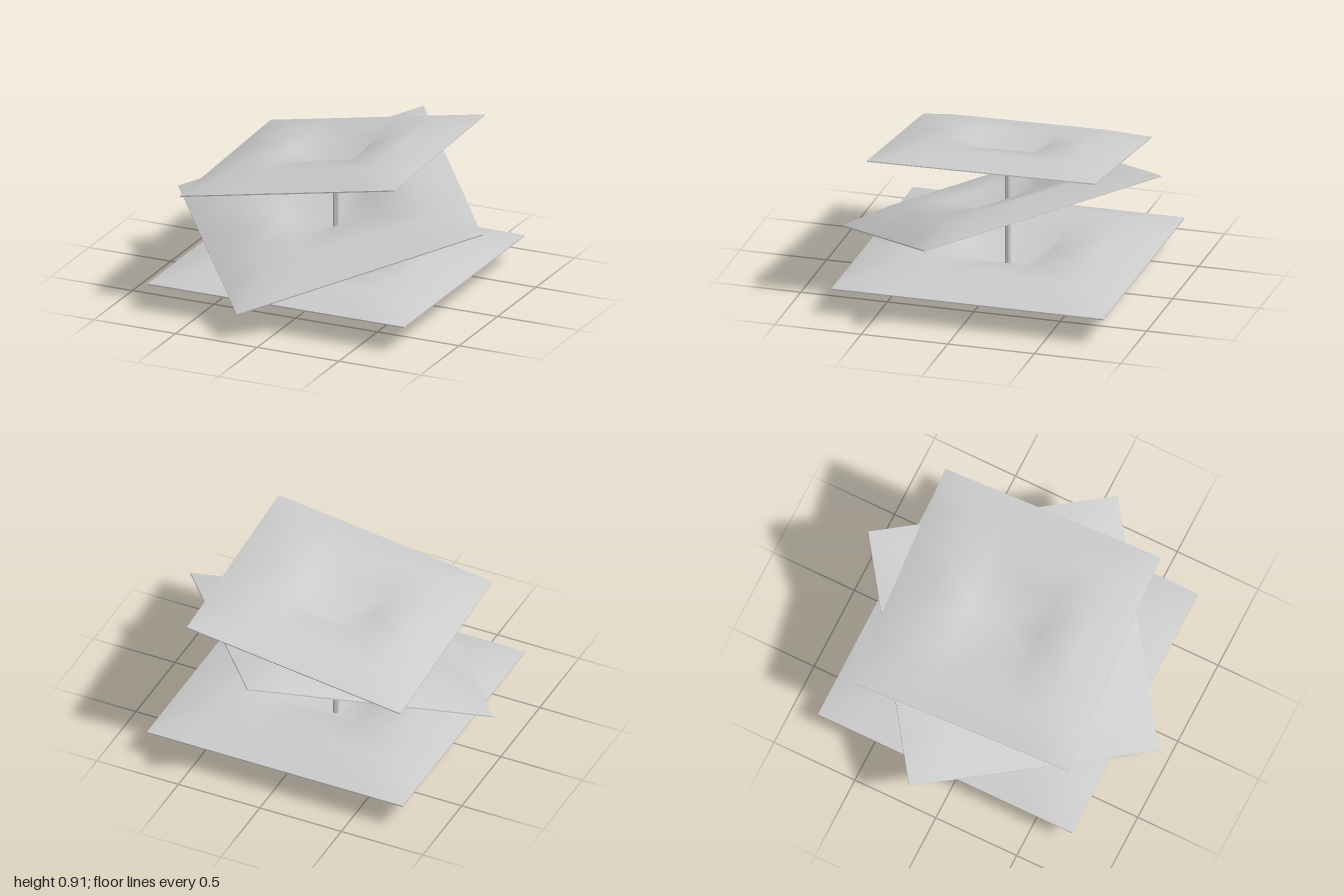
import * as THREE from 'three';

const material = new THREE.MeshStandardMaterial({ color: 0xcccccc });
const AXIS = [-0.01, -0.045]; // x, z of the pole
const THICK = 0.008;

// Square canopy with its funnel tip at the origin; height depends on the square ring
function canopyGeometry(side) {
  const ringHeights = [0, 0.2, 0.226, 0.15];
  const n = 6, half = n / 2, step = side / n;
  const pos = [], index = [];

  for (const lift of [THICK, 0]) {
    for (let i = 0; i <= n; i++) {
      for (let j = 0; j <= n; j++) {
        const ring = Math.max(Math.abs(i - half), Math.abs(j - half));
        pos.push((i - half) * step, ringHeights[ring] + lift, (j - half) * step);
      }
    }
  }

  // Upper and lower skins, with cell diagonals pointing at the centre
  const count = (n + 1) * (n + 1);
  for (let i = 0; i < n; i++) {
    for (let j = 0; j < n; j++) {
      const a = i * (n + 1) + j, b = a + 1, d = a + n + 1, c = d + 1;
      const radial = (i - half + 0.5) * (j - half + 0.5) > 0;
      const tris = radial ? [[a, b, c], [a, c, d]] : [[a, b, d], [b, c, d]];
      for (const [p, q, r] of tris) {
        index.push(p, q, r, p + count, r + count, q + count);
      }
    }
  }

  // Thin rim, one quad per side
  const s = side / 2, y = ringHeights[3];
  const corners = [[-s, s], [s, s], [s, -s], [-s, -s]];
  corners.forEach(([x0, z0], k) => {
    const [x1, z1] = corners[(k + 1) % 4];
    const v = pos.length / 3;
    pos.push(x0, y, z0, x1, y, z1, x1, y + THICK, z1, x0, y + THICK, z0);
    index.push(v, v + 1, v + 2, v, v + 2, v + 3);
  });

  const geometry = new THREE.BufferGeometry();
  geometry.setAttribute('position', new THREE.Float32BufferAttribute(pos, 3));
  geometry.setIndex(index);
  geometry.computeVertexNormals();
  return geometry;
}

export function createModel() {
  const group = new THREE.Group();
  const base = canopyGeometry(1.57);

  // Three canopies, each smaller and tilted its own way
  const canopies = [
    { name: 'lowerCanopy', y: 0, scale: 1, right: [1, 0, 0], up: [0, 1, 0] },
    { name: 'middleCanopy', y: 0.325, scale: 0.912, right: [1.12, 0.375, -0.81], up: [-0.109, 0.951, 0.29] },
    { name: 'upperCanopy', y: 0.643, scale: 0.83, right: [1.28, 0.22, -0.06], up: [-0.17, 0.985, 0] },
  ];
  for (const { name, y, scale, right, up } of canopies) {
    const yAxis = new THREE.Vector3(...up).normalize();
    const zAxis = new THREE.Vector3(...right).cross(yAxis).normalize();
    const xAxis = new THREE.Vector3().crossVectors(yAxis, zAxis);
    const mesh = new THREE.Mesh(base, material);
    mesh.name = name;
    mesh.quaternion.setFromRotationMatrix(new THREE.Matrix4().makeBasis(xAxis, yAxis, zAxis));
    mesh.scale.setScalar(scale);
    mesh.position.set(AXIS[0], y, AXIS[1]);
    group.add(mesh);
  }

  // Slim six-sided pole joining the funnel tips
  const poleMaterial = material.clone();
  poleMaterial.flatShading = true;
  const pole = new THREE.Mesh(new THREE.CylinderGeometry(0.017, 0.017, 0.64, 6), poleMaterial);
  pole.name = 'pole';
  pole.position.set(AXIS[0], 0.335, AXIS[1]);
  group.add(pole);

  return group;
}
